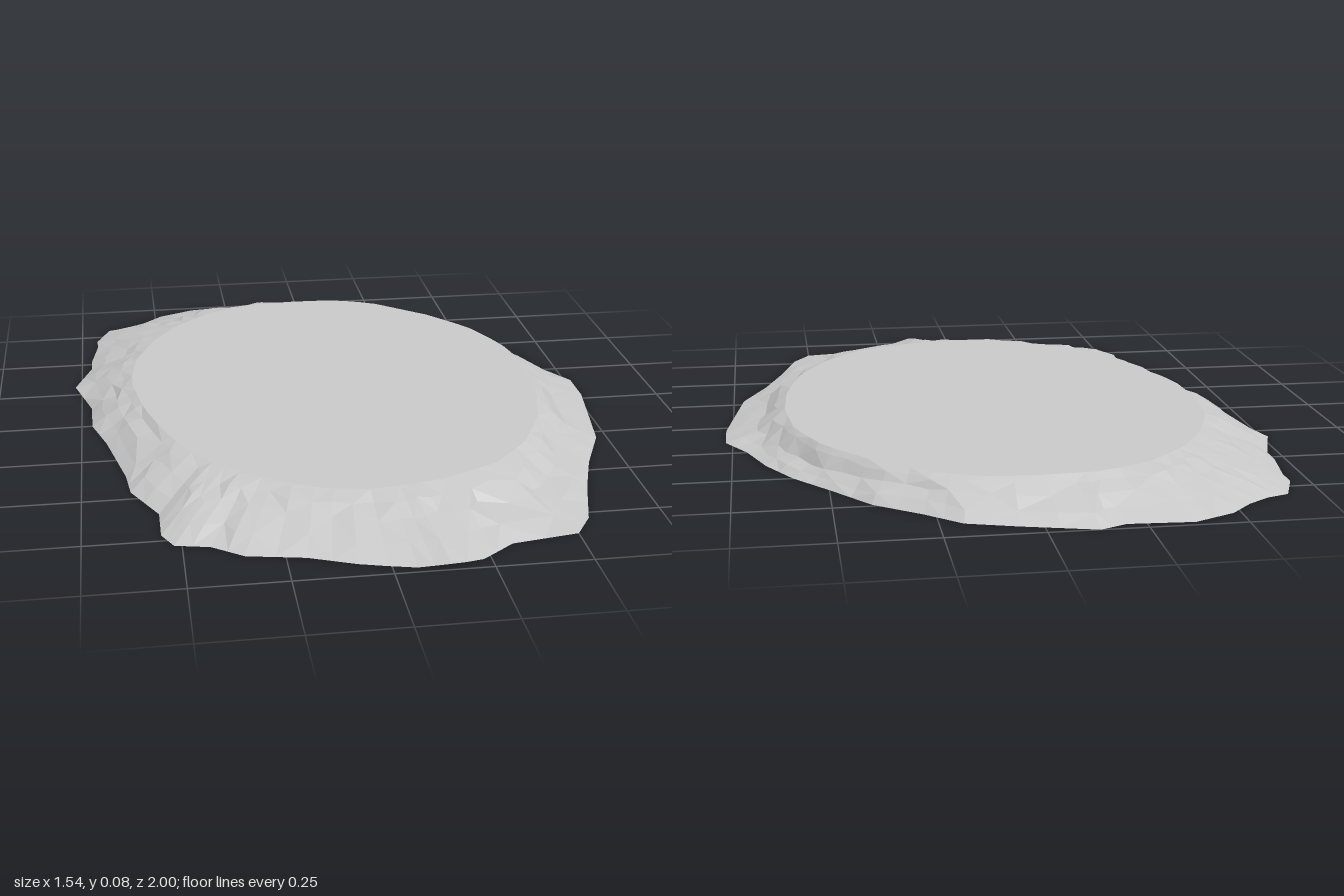
import * as THREE from 'three';

const HEIGHT = 0.078;
const CENTER = [0, -0.05];

// Ragged ground outline, x/z pairs, clockwise from the back
const OUTLINE = [
  [-0.13, -1], [0.06, -0.95], [0.19, -0.91], [0.28, -0.83], [0.4, -0.74], [0.5, -0.61], [0.59, -0.5],
  [0.66, -0.38], [0.71, -0.25], [0.77, -0.15], [0.77, -0.03], [0.75, 0.1], [0.72, 0.29], [0.65, 0.45],
  [0.6, 0.6], [0.55, 0.78], [0.5, 0.86], [0.32, 0.89], [0.23, 0.96], [0.14, 1], [0.06, 0.98],
  [-0.08, 0.94], [-0.2, 0.89], [-0.35, 0.86], [-0.43, 0.8], [-0.52, 0.78], [-0.55, 0.72], [-0.55, 0.6],
  [-0.62, 0.46], [-0.63, 0.36], [-0.68, 0.13], [-0.72, 0], [-0.72, -0.13], [-0.77, -0.31], [-0.72, -0.46],
  [-0.72, -0.52], [-0.7, -0.65], [-0.7, -0.71], [-0.66, -0.81], [-0.6, -0.83], [-0.54, -0.87],
  [-0.48, -0.93], [-0.37, -0.98], [-0.2, -0.97],
];

// Edge of the flat top, same order
const TOP = [
  [0, -0.8], [0.12, -0.79], [0.24, -0.74], [0.4, -0.6], [0.51, -0.46], [0.58, -0.29], [0.6, -0.1],
  [0.59, 0.1], [0.54, 0.3], [0.46, 0.46], [0.35, 0.58], [0.18, 0.66], [0, 0.69], [-0.12, 0.67],
  [-0.24, 0.61], [-0.36, 0.52], [-0.45, 0.4], [-0.52, 0.24], [-0.57, 0.06], [-0.6, -0.14],
  [-0.58, -0.32], [-0.52, -0.48], [-0.44, -0.61], [-0.33, -0.72], [-0.18, -0.79],
];

// Point where the ray from the centre through p meets a closed contour
function project(p, contour) {
  const dx = p[0] - CENTER[0], dz = p[1] - CENTER[1];
  for (let i = 0; i < contour.length; i++) {
    const a = contour[i], b = contour[(i + 1) % contour.length];
    const ax = a[0] - CENTER[0], az = a[1] - CENTER[1];
    const ex = b[0] - a[0], ez = b[1] - a[1];
    const det = dx * ez - dz * ex;
    const t = (ax * ez - az * ex) / det;
    const s = (ax * dz - az * dx) / det;
    if (t > 0 && s >= -1e-6 && s <= 1 + 1e-6) return [CENTER[0] + dx * t, CENTER[1] + dz * t];
  }
  return p;
}

function makeRandom(seed) {
  return () => {
    seed = (seed * 16807) % 2147483647;
    return seed / 2147483647 - 0.5;
  };
}

function makeGeometry(positions, indices) {
  const g = new THREE.BufferGeometry();
  g.setAttribute('position', new THREE.Float32BufferAttribute(positions, 3));
  g.setIndex(indices);
  g.computeVertexNormals();
  return g;
}

export function createModel() {
  const group = new THREE.Group();
  group.name = 'rockPlateau';
  const stone = new THREE.MeshStandardMaterial({ color: 0xc8c8c8, flatShading: true, side: THREE.DoubleSide });
  stone.name = 'grey stone';
  const random = makeRandom(77);

  // Outline with midpoints, and the matching points on the top edge
  const rim = OUTLINE.flatMap((p, i) => {
    const q = OUTLINE[(i + 1) % OUTLINE.length];
    return [p, [(p[0] + q[0]) / 2, (p[1] + q[1]) / 2]];
  });
  const edge = rim.map((p) => project(p, TOP));
  const n = rim.length;

  // Slope rings: a steep ledge with an apron on the left, a gentler bank elsewhere
  const steps = [0, 0.2, 0.42, 0.72, 1];
  const gentle = [1, 0.84, 0.62, 0.33, 0];
  const steep = [1, 0.8, 0.38, 0.18, 0];
  const positions = [], indices = [];
  steps.forEach((step, r) => {
    rim.forEach((p, i) => {
      const e = edge[i];
      const inner = r > 0 && r < steps.length - 1;
      const f = step + (inner ? random() * 0.13 : 0);
      const x = e[0] + (p[0] - e[0]) * f, z = e[1] + (p[1] - e[1]) * f;
      const ledge = THREE.MathUtils.smoothstep(p[0], 0.2, 0.6);
      let y = HEIGHT * THREE.MathUtils.lerp(gentle[r], steep[r], ledge);
      if (inner) y += random() * 0.009;
      // Lifted lip at the front tip
      if (p[1] > 0.85) y += 0.016 * step * Math.exp(-(((p[0] - 0.14) / 0.05) ** 2));
      positions.push(x, y, z);
    });
  });
  for (let r = 0; r < steps.length - 1; r++) {
    for (let i = 0; i < n; i++) {
      const j = (i + 1) % n;
      const c = r * n + i, d = r * n + j, a = c + n, b = d + n;
      if ((i + r) % 2) indices.push(a, c, b, c, d, b);
      else indices.push(a, c, d, a, d, b);
    }
  }
  const slope = new THREE.Mesh(makeGeometry(positions, indices), stone);
  slope.name = 'slope';

  // Flat top
  const capPositions = [CENTER[0], HEIGHT, CENTER[1]], capIndices = [];
  edge.forEach((p, i) => {
    capPositions.push(p[0], HEIGHT, p[1]);
    capIndices.push(0, ((i + 1) % n) + 1, i + 1);
  });
  const cap = new THREE.Mesh(makeGeometry(capPositions, capIndices), stone);
  cap.name = 'flatTop';

  group.add(slope, cap);
  return group;
}
